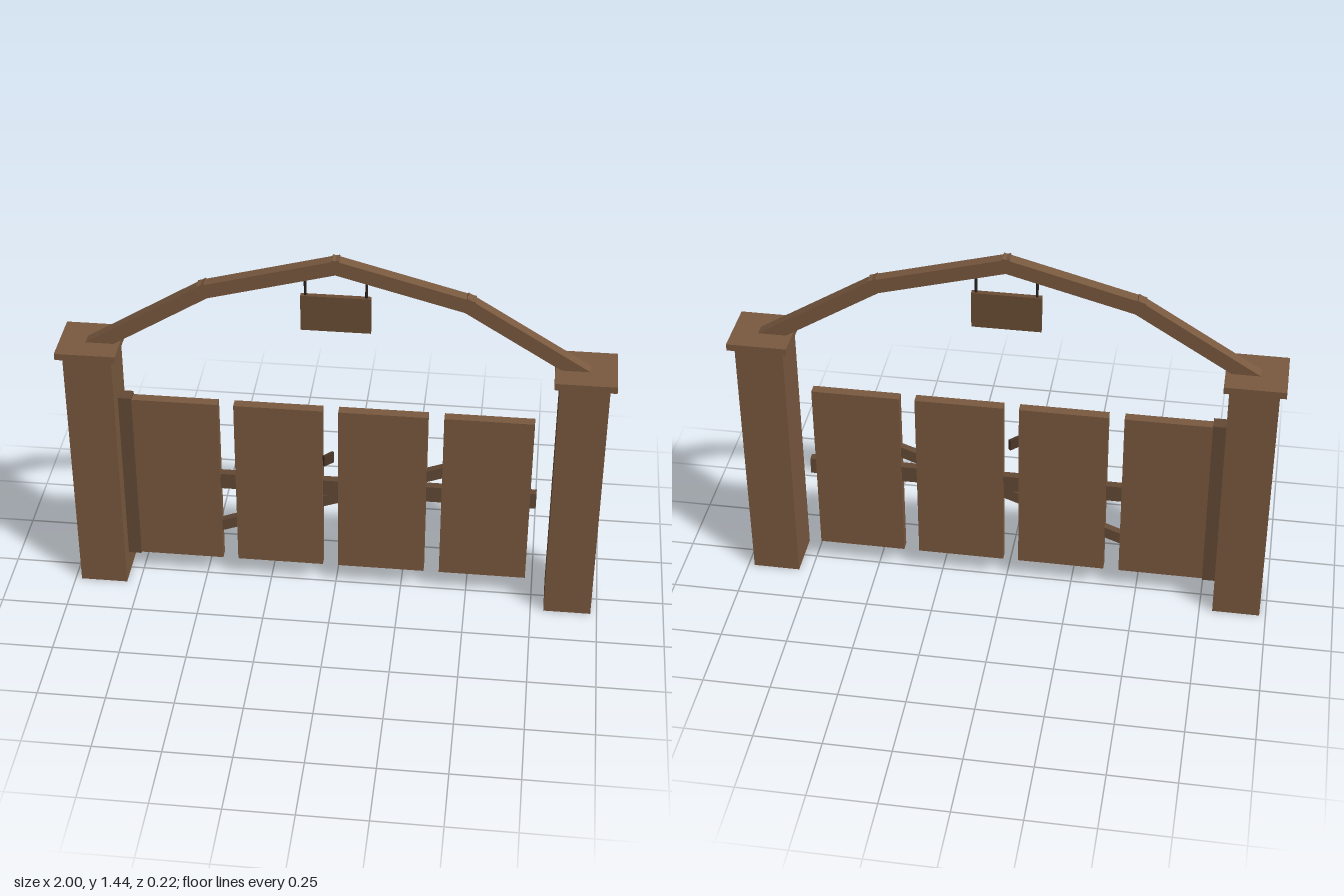
import * as THREE from 'three';

export function createModel() {
  const model = new THREE.Group();
  model.name = 'ranchGate';

  const material = (color) => new THREE.MeshStandardMaterial({ color });
  const wood = material(0x7a5a40);
  const darkWood = material(0x644a35);
  const signWood = material(0x6b4d35);
  const iron = material(0x2a2420);

  // Box given by its centre and size
  function box(name, [x, y, z], [w, h, d], mat, parent = model) {
    const mesh = new THREE.Mesh(new THREE.BoxGeometry(w, h, d), mat);
    mesh.name = name;
    mesh.position.set(x, y, z);
    parent.add(mesh);
    return mesh;
  }

  // Beam between two points in the xy plane
  function beam(name, [x0, y0], [x1, y1], height, depth, extra, mat, parent) {
    const length = Math.hypot(x1 - x0, y1 - y0) + extra;
    const mesh = box(name, [(x0 + x1) / 2, (y0 + y1) / 2, 0], [length, height, depth], mat, parent);
    mesh.rotation.z = Math.atan2(y1 - y0, x1 - x0);
    return mesh;
  }

  // Posts with flat caps
  for (const side of [-1, 1]) {
    const label = side < 0 ? 'right' : 'left';
    box(label + 'Post', [side * 0.888, 0.51, 0], [0.177, 1.02, 0.18], wood);
    box(label + 'PostCap', [side * 0.89, 1.028, 0], [0.22, 0.026, 0.22], wood);
  }

  // Arch of four straight beams
  const arch = new THREE.Group();
  arch.name = 'arch';
  model.add(arch);
  const points = [[-0.89, 1.018], [-0.465, 1.28], [0, 1.405], [0.465, 1.28], [0.89, 1.018]];
  for (let i = 0; i < 4; i++) {
    beam('archBeam', points[i], points[i + 1], 0.054, 0.044, 0.04, wood, arch);
  }

  // Hanging sign board
  const sign = new THREE.Group();
  sign.name = 'hangingSign';
  model.add(sign);
  box('signBoard', [0, 1.21, 0], [0.25, 0.14, 0.02], signWood, sign);
  for (const x of [-0.108, 0.108]) {
    const hanger = new THREE.Mesh(new THREE.CylinderGeometry(0.005, 0.005, 0.09, 8), iron);
    hanger.name = 'signHanger';
    hanger.position.set(x, 1.32, 0);
    sign.add(hanger);
  }

  // Gate: stile, boards, rail and diagonal brace
  const gate = new THREE.Group();
  gate.name = 'gate';
  model.add(gate);
  box('hingeStile', [-0.778, 0.452, 0], [0.055, 0.716, 0.052], darkWood, gate);
  for (let i = 0; i < 4; i++) {
    box('gateBoard', [-0.596 + i * 0.385, 0.448, 0], [0.327, 0.706, 0.038], wood, gate);
  }
  box('gateRail', [-0.02, 0.455, 0], [1.53, 0.066, 0.03], darkWood, gate);
  beam('gateBrace', [-0.72, 0.138], [0.69, 0.666], 0.044, 0.028, 0, darkWood, gate);

  // Latch, turned out from the boards
  const latch = box('latch', [-0.023, 0.607, 0.04], [0.045, 0.044, 0.011], iron, gate);
  latch.material = material(0x4a3626);
  latch.rotation.y = Math.PI / 4;

  return model;
}
